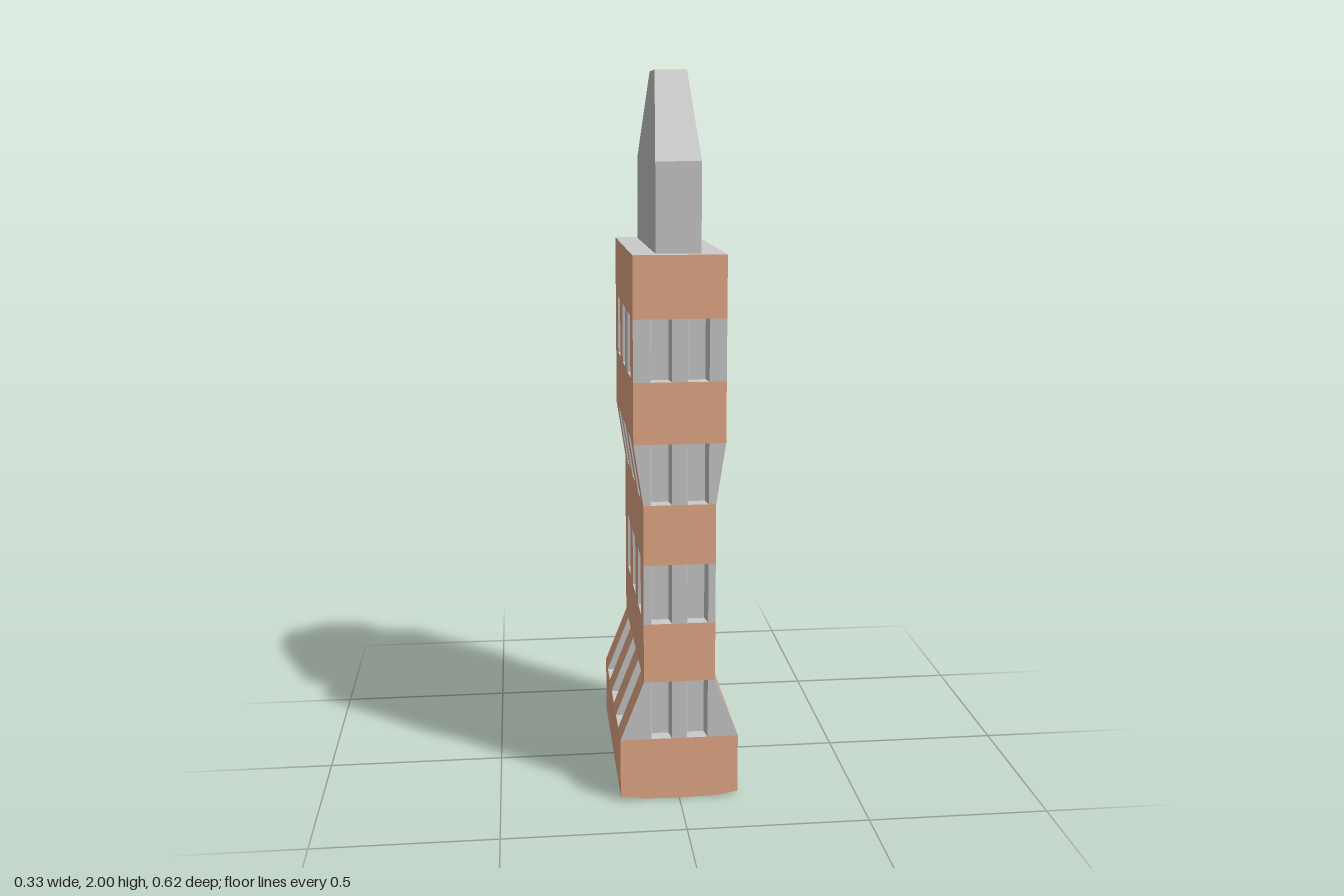
import * as THREE from 'three';

const brick = new THREE.MeshStandardMaterial({ color: 0xe8ad89, flatShading: true });
const grey = new THREE.MeshStandardMaterial({ color: 0xcccccc, flatShading: true });

const HALF_Z = 0.3125; // half the building length
const DEPTH = 0.04; // window recess
const H = 0.168; // storey band height
const BASE = 0.012;

function add(parent, name, geometry, material) {
  const mesh = new THREE.Mesh(geometry, material);
  mesh.name = name;
  parent.add(mesh);
  return mesh;
}

// Mesh of quads, each given as four corners counter-clockwise from outside
function quadMesh(parent, name, quads, material) {
  const pos = [];
  for (const [a, b, c, d] of quads) pos.push(...a, ...b, ...c, ...a, ...c, ...d);
  const g = new THREE.BufferGeometry();
  g.setAttribute('position', new THREE.Float32BufferAttribute(pos, 3));
  g.computeVertexNormals();
  add(parent, name, g, material);
}

// Solid band: brick walls, grey top and underside
function brickBand(parent, name, y, halfX) {
  const box = new THREE.BoxGeometry(halfX * 2, H, HALF_Z * 2);
  add(parent, name, box, [brick, brick, grey, grey, brick, brick]).position.y = y + H / 2;
}

// Window band: a notched plan raised from half width x0 to x1
function windowBand(parent, name, y, x0, x1, greyPier) {
  const inner = Math.min(x0, x1) - DEPTH;
  const half = []; // points as [x at bottom, x at top, z]
  half.push([x0, x1, HALF_Z]);
  for (const c of [0.18, 0, -0.18]) {
    half.push([x0, x1, c + 0.045], [inner, inner, c + 0.037],
      [inner, inner, c - 0.037], [x0, x1, c - 0.045]);
  }
  half.push([x0, x1, -HALF_Z]);
  for (const c of [0.05, -0.05]) {
    for (const [dx, dz] of [[0.029, 0], [0.023, DEPTH], [-0.023, DEPTH], [-0.029, 0]]) {
      half.push([c + dx, c + dx, -HALF_Z + dz]);
    }
  }
  // The other half is the same, turned by 180 degrees
  const plan = [...half, ...half.map((p) => p.map((v) => -v))];
  const piers = [];
  const recesses = [];
  plan.forEach((a, i) => {
    const b = plan[(i + 1) % plan.length];
    const k = i % half.length;
    const isBrick = k <= 12 && k % 4 === 0 && k / 4 !== greyPier;
    (isBrick ? piers : recesses).push([
      [a[0], y, a[2]], [b[0], y, b[2]], [b[1], y + H, b[2]], [a[1], y + H, a[2]],
    ]);
  });
  quadMesh(parent, name + 'Piers', piers, brick);
  quadMesh(parent, name + 'Recesses', recesses, grey);
}

export function createModel() {
  const group = new THREE.Group();
  group.name = 'tower';

  // Shallow bowed underside
  const keel = new THREE.Shape([
    [-0.165, BASE], [-0.1, 0.002], [0, 0], [0.1, 0.002], [0.165, BASE],
  ].map((p) => new THREE.Vector2(...p)));
  const keelGeo = new THREE.ExtrudeGeometry(keel, { depth: HALF_Z * 2, bevelEnabled: false });
  keelGeo.translate(0, 0, -HALF_Z);
  add(group, 'bowedBase', keelGeo, [brick, grey]);

  // Alternating brick and window storeys
  const widths = [0.165, 0.099, 0.099, 0.125, 0.125];
  const greyPiers = [-1, -1, 1, 2];
  widths.forEach((w, i) => {
    const y = BASE + i * 2 * H;
    brickBand(group, 'brickBand' + (i + 1), y, w);
    if (i < 4) windowBand(group, 'windowBand' + (i + 1), y + H, w, widths[i + 1], greyPiers[i]);
  });

  // Roof block
  const roofY = BASE + 9 * H;
  const eaveY = 1.762;
  const block = new THREE.BoxGeometry(0.122, eaveY - roofY, 0.546);
  add(group, 'roofBlock', block, grey).position.set(0, (roofY + eaveY) / 2, -0.001);

  // Tapered roof with a narrow flat top
  const roof = new THREE.BoxGeometry(0.122, 2 - eaveY, 0.546);
  const p = roof.attributes.position;
  for (let i = 0; i < p.count; i++) {
    if (p.getY(i) > 0) {
      p.setX(i, Math.sign(p.getX(i)) * 0.044);
      p.setZ(i, p.getZ(i) > 0 ? 0.082 : -0.058);
    }
  }
  roof.computeVertexNormals();
  add(group, 'taperedRoof', roof, grey).position.set(0, (2 + eaveY) / 2, -0.001);

  return group;
}
